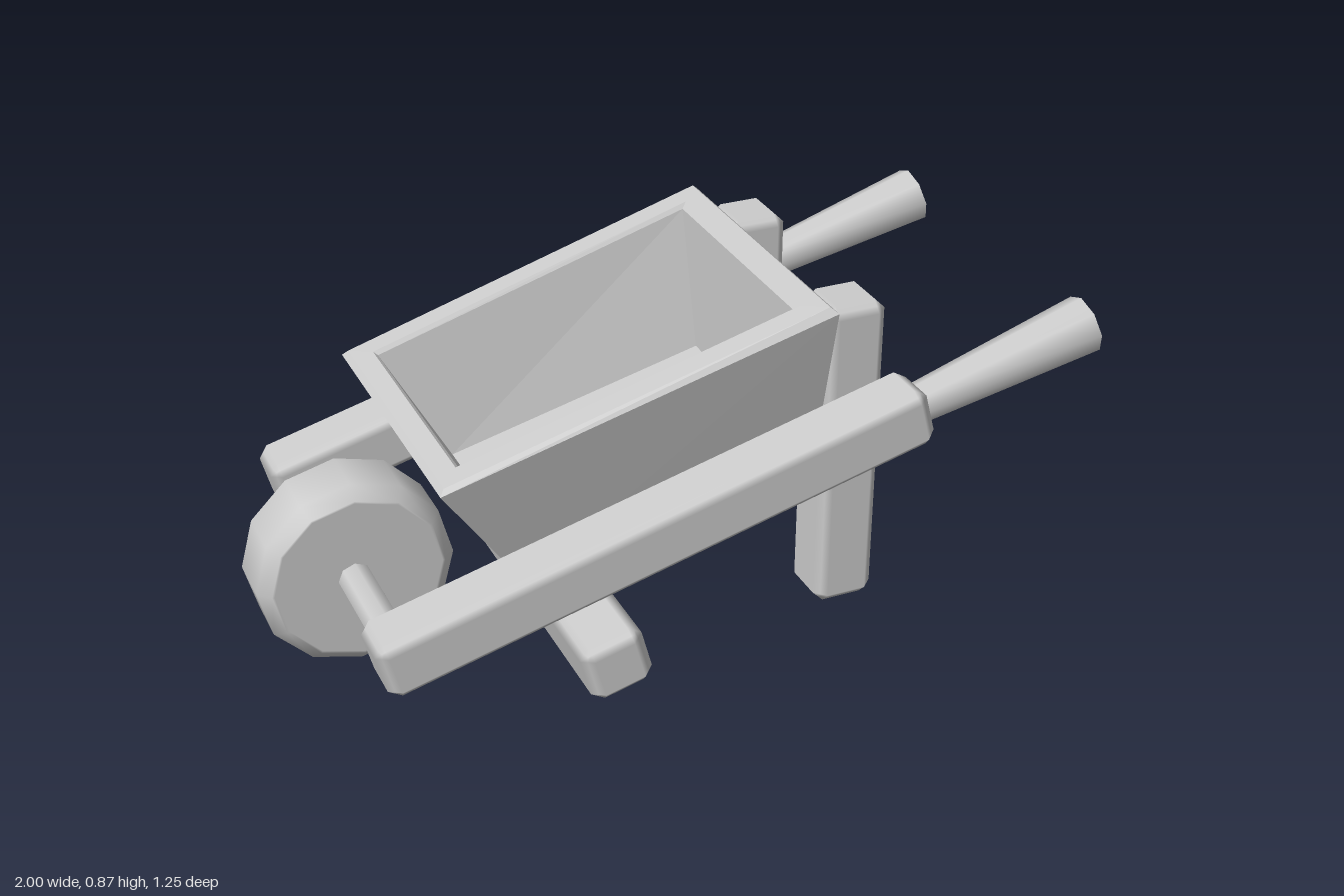
import * as THREE from 'three';

const TILT = Math.PI / 12;
const material = new THREE.MeshStandardMaterial({ color: 0xcccccc });

// Box with chamfered edges and softly shaded bevels
function chamferBox(w, h, d, c = 0.028) {
  const geo = new THREE.BoxGeometry(1, 1, 1, 3, 3, 3);
  const half = [w / 2, h / 2, d / 2];
  const pos = geo.attributes.position, nor = geo.attributes.normal;
  for (let i = 0; i < pos.count; i++) {
    const p = [pos.getX(i), pos.getY(i), pos.getZ(i)];
    const out = p.map(v => (Math.abs(v) > 0.4 ? Math.sign(v) : 0));
    const n = out.filter(v => v !== 0).length;
    const q = p.map((v, k) => Math.sign(v) * (half[k] - c) + out[k] * c / n);
    pos.setXYZ(i, ...q);
    nor.setXYZ(i, ...out.map(v => v / Math.sqrt(n)));
  }
  return geo;
}

// Flat-faced loft through rectangular rings: [xLeft, yLeft, zLeft, xRight, yRight, zRight]
function loftRings(rings) {
  const pts = [], index = [];
  for (const [xl, yl, zl, xr, yr, zr] of rings) {
    pts.push(xl, yl, zl, xr, yr, zr, xr, yr, -zr, xl, yl, -zl);
  }
  for (let r = 0; r < rings.length - 1; r++) {
    for (let i = 0; i < 4; i++) {
      const a = r * 4 + i, b = r * 4 + (i + 1) % 4;
      index.push(a, b, b + 4, a, b + 4, a + 4);
    }
  }
  const e = (rings.length - 1) * 4;
  index.push(0, 2, 1, 0, 3, 2, e, e + 1, e + 2, e, e + 2, e + 3);
  const geo = new THREE.BufferGeometry();
  geo.setAttribute('position', new THREE.Float32BufferAttribute(pts, 3));
  geo.setIndex(index);
  const flat = geo.toNonIndexed();
  flat.computeVertexNormals();
  return flat;
}

export function createModel() {
  const model = new THREE.Group();
  const add = (name, geo, x = 0, y = 0, z = 0, rz = 0) => {
    const mesh = new THREE.Mesh(geo, material);
    mesh.name = name;
    mesh.position.set(x, y, z);
    mesh.rotation.z = rz;
    model.add(mesh);
    return mesh;
  };

  // Wheel with bevelled rim, and its axle
  const R = 0.242, W = 0.095, c = 0.03;
  const profile = [
    [0, -W], [R - c - 0.006, -W], [R - c, -W], [R, -W + c],
    [R, W - c], [R - c, W], [R - c - 0.006, W], [0, W],
  ].map(([x, y]) => new THREE.Vector2(x, y));
  add('wheel', new THREE.LatheGeometry(profile, 12).rotateX(Math.PI / 2), -0.76, R, 0);
  add('axle', new THREE.CylinderGeometry(0.042, 0.042, 0.74, 8).rotateX(Math.PI / 2), -0.77, 0.245, 0);

  // Beams, grips and legs on both sides
  for (const [side, s] of [['left', -1], ['right', 1]]) {
    add(side + 'Beam', chamferBox(1.41, 0.155, 0.155), -0.15, 0.417, s * 0.427, TILT);
    add(side + 'Grip', new THREE.CylinderGeometry(0.073, 0.048, 0.5, 8),
      0.739, 0.652, s * 0.42, TILT - Math.PI / 2);
    add(side + 'Leg', chamferBox(0.157, 0.815, 0.157), 0.407, 0.43, s * 0.265);
  }

  // Crossbar under the tray
  add('crossbar', chamferBox(0.155, 0.155, 1.245), -0.317, 0.2, 0, TILT);

  // Tray: outer walls, chamfered rim, inner walls and floor
  add('tray', loftRings([
    [-0.42, 0.265, 0.3, 0.32, 0.455, 0.31],
    [-0.64, 0.588, 0.37, 0.325, 0.858, 0.392],
    [-0.628, 0.602, 0.358, 0.308, 0.873, 0.378],
    [-0.58, 0.616, 0.303, 0.262, 0.86, 0.32],
    [-0.57, 0.608, 0.295, 0.25, 0.845, 0.312],
    [-0.412, 0.325, 0.233, 0.25, 0.5, 0.222],
  ]));

  return model;
}
